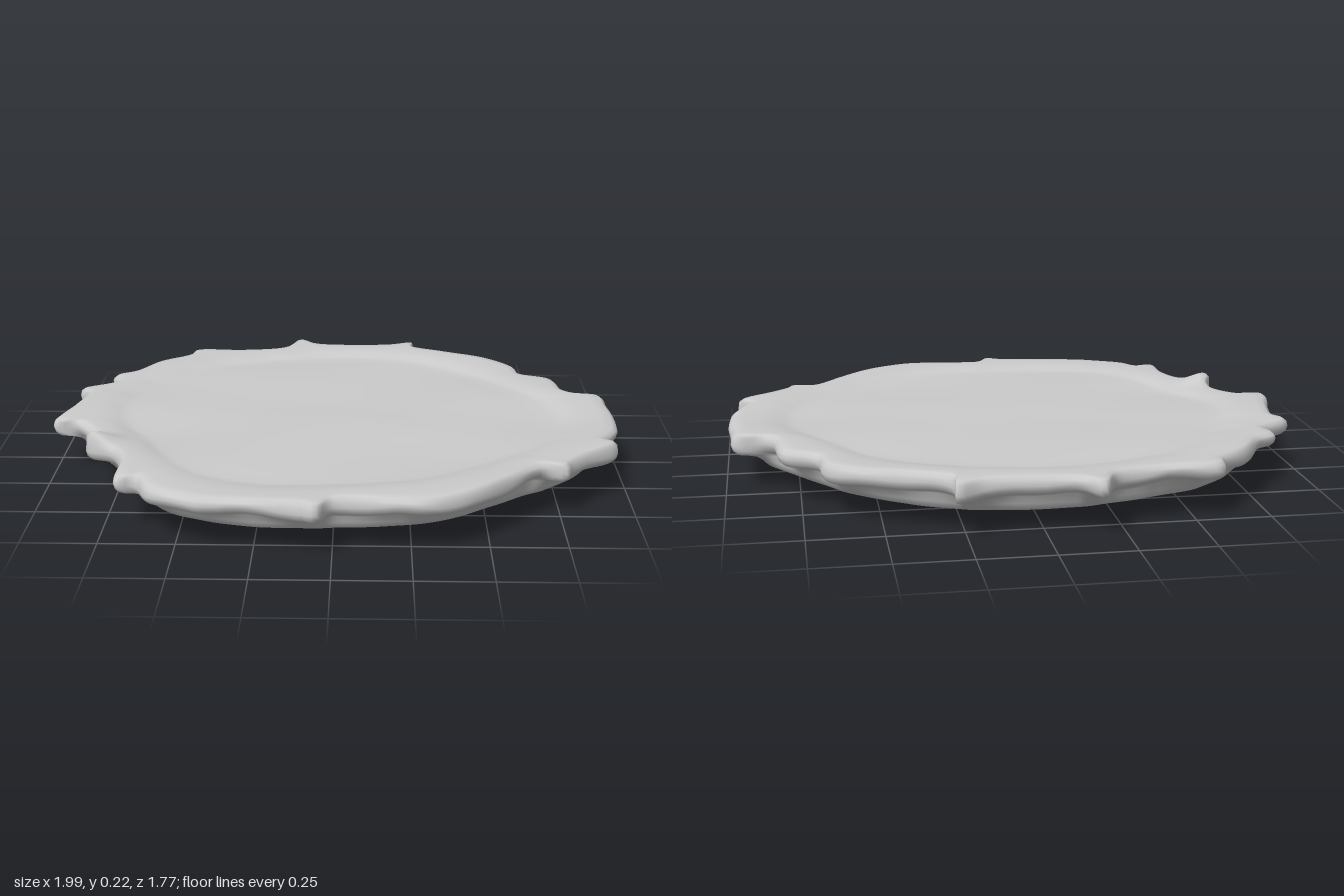
import * as THREE from 'three';

// Scalloped rim outline as x, z pairs, starting at the back
const OUTLINE = [
  -0.17, -0.89, -0.11, -0.84, 0, -0.82, 0.2, -0.82, 0.29, -0.85, 0.29, -0.79, 0.42, -0.72, 0.58, -0.65,
  0.68, -0.55, 0.7, -0.46, 0.81, -0.39, 0.84, -0.25, 0.88, -0.21, 0.97, -0.19, 0.98, -0.1, 0.99, 0.02,
  0.98, 0.15, 0.93, 0.28, 0.96, 0.31, 0.84, 0.42, 0.78, 0.49, 0.77, 0.52, 0.69, 0.51, 0.58, 0.62,
  0.48, 0.72, 0.4, 0.78, 0.29, 0.83, 0.2, 0.83, 0, 0.82, -0.05, 0.88, -0.1, 0.86, -0.42, 0.82,
  -0.45, 0.81, -0.59, 0.73, -0.64, 0.65, -0.7, 0.66, -0.71, 0.5, -0.75, 0.41, -0.85, 0.33, -0.83, 0.29,
  -0.92, 0.13, -1, 0.12, -0.96, -0.05, -0.94, -0.19, -0.97, -0.24, -0.86, -0.33, -0.87, -0.41,
  -0.8, -0.46, -0.72, -0.58, -0.61, -0.68, -0.59, -0.74, -0.4, -0.75, -0.23, -0.79,
];

// Section from top centre, over the lip, to bottom centre: [scale, y, share of scalloping]
const SECTION = [
  [0.001, 0.18, 0], [0.2, 0.18, 0], [0.4, 0.18, 0], [0.6, 0.178, 0], [0.72, 0.177, 0], [0.78, 0.175, 0],
  [0.82, 0.179, 0.1], [0.85, 0.189, 0.2], [0.9, 0.192, 0.4], [0.95, 0.194, 0.8], [0.98, 0.191, 1],
  [0.995, 0.18, 1], [1, 0.16, 1], [0.995, 0.143, 1], [0.98, 0.13, 1], [0.955, 0.124, 0.8],
  [0.94, 0.115, 0.5], [0.925, 0.09, 0.3], [0.91, 0.068, 0.15], [0.88, 0.058, 0.1], [0.82, 0.053, 0],
  [0.7, 0.049, 0], [0.6, 0.047, 0], [0.5, 0.045, 0], [0.42, 0.044, 0], [0.34, 0.043, 0],
  [0.26, 0.042, 0], [0.18, 0.041, 0], [0.1, 0.041, 0], [0.001, 0.041, 0],
];

const N = 360;

function outlines() {
  const pts = [];
  for (let i = 0; i < OUTLINE.length; i += 2) pts.push(new THREE.Vector3(OUTLINE[i], 0, OUTLINE[i + 1]));
  const rim = new THREE.CatmullRomCurve3(pts, true, 'centripetal').getSpacedPoints(N).slice(0, N);
  // Averaging neighbours gives the calmer outline of the body
  const body = rim.map((_, j) => {
    const sum = new THREE.Vector3();
    for (let k = -14; k <= 14; k++) sum.add(rim[(j + k + N) % N]);
    return sum.divideScalar(29);
  });
  return { rim, body };
}

const bump = (x, z, cx, cz, rx, rz) => Math.exp(-(((x - cx) / rx) ** 2) - ((z - cz) / rz) ** 2);

function slabGeometry() {
  const { rim, body } = outlines();
  const pos = [], index = [];
  SECTION.forEach(([scale, height, share], i) => {
    for (let j = 0; j < N; j++) {
      const p = body[j].clone().lerp(rim[j], share).multiplyScalar(scale);
      let y = height;
      if (i < 12) {
        // Hand-worked ripples and the raised knob on the rim
        y += 0.003 * Math.sin(5 * p.x + 9 * p.z) + 0.002 * Math.sin(13 * p.z - 3 * p.x);
        y += 0.035 * bump(p.x, p.z, -0.82, 0.33, 0.06, 0.05);
      } else if (i < 17) {
        y += 0.006 * Math.sin(j * 0.19) + 0.004 * Math.sin(j * 0.41);
      } else {
        // Low off-centre foot
        const b = bump(p.x, p.z, 0.05, -0.22, 0.25, 0.22);
        y = Math.max(0, y - 0.055 * b);
      }
      pos.push(p.x, y, p.z);
      if (i < SECTION.length - 1) {
        const a = i * N + j, c = i * N + ((j + 1) % N);
        index.push(a, c, a + N, c, c + N, a + N);
      }
    }
  });
  const geo = new THREE.BufferGeometry();
  geo.setAttribute('position', new THREE.Float32BufferAttribute(pos, 3));
  geo.setIndex(index);
  geo.computeVertexNormals();
  return geo;
}

export function createModel() {
  const group = new THREE.Group();
  group.name = 'scallopedPlate';
  const plate = new THREE.Mesh(slabGeometry(), new THREE.MeshStandardMaterial({ color: 0xcccccc }));
  plate.name = 'plate';
  group.add(plate);
  return group;
}
